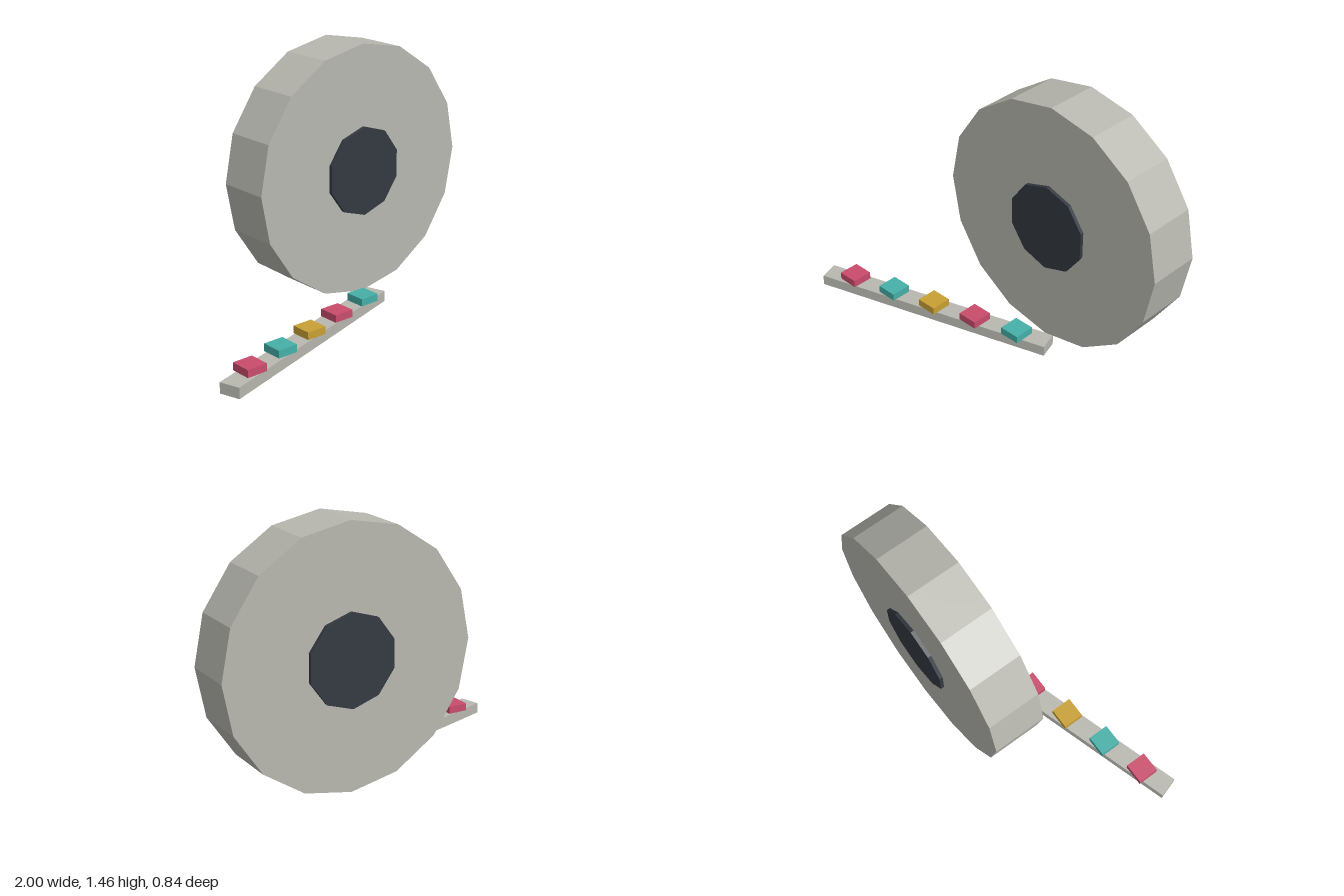
import * as THREE from 'three';

const material = (name, color) => {
  const m = new THREE.MeshStandardMaterial({ color, flatShading: true });
  m.name = name;
  return m;
};

export function createModel() {
  const model = new THREE.Group();
  model.name = 'reelWithTape';

  const grey = material('warm grey', 0xb8b8b0);
  const dark = material('dark slate', 0x343a42);
  const red = material('rose red', 0xc94c6c);
  const teal = material('teal', 0x45b0a8);
  const gold = material('gold', 0xc8a032);

  const add = (name, geometry, mat, x, y, z, parent = model) => {
    const mesh = new THREE.Mesh(geometry, mat);
    mesh.name = name;
    mesh.position.set(x, y, z);
    parent.add(mesh);
    return mesh;
  };

  // Upright faceted roll, with a hub standing slightly proud on both faces
  const disc = (radius, depth, sides) =>
    new THREE.CylinderGeometry(radius, radius, depth, sides).rotateX(Math.PI / 2);
  add('roll', disc(0.703, 0.3, 16), grey, 0.295, 0.758, -0.25);
  add('hub', disc(0.25, 0.34, 10), dark, 0.295, 0.758, -0.25);

  // Unrolled strip lying at an angle on the ground
  const strip = add('strip', new THREE.BoxGeometry(1.406, 0.06, 0.115), grey, -0.311, 0.03, 0.153);
  strip.rotation.y = 0.3;

  // Square sweets along the strip, aligned to the main axes
  const sweets = new THREE.Group();
  sweets.name = 'sweets';
  model.add(sweets);
  const sweetGeometry = new THREE.BoxGeometry(0.118, 0.042, 0.118);
  [red, teal, gold, red, teal].forEach((mat, i) => {
    add(`sweet${i + 1}`, sweetGeometry, mat, -0.812 + i * 0.251, 0.081, 0.302 - i * 0.0708, sweets);
  });

  return model;
}
